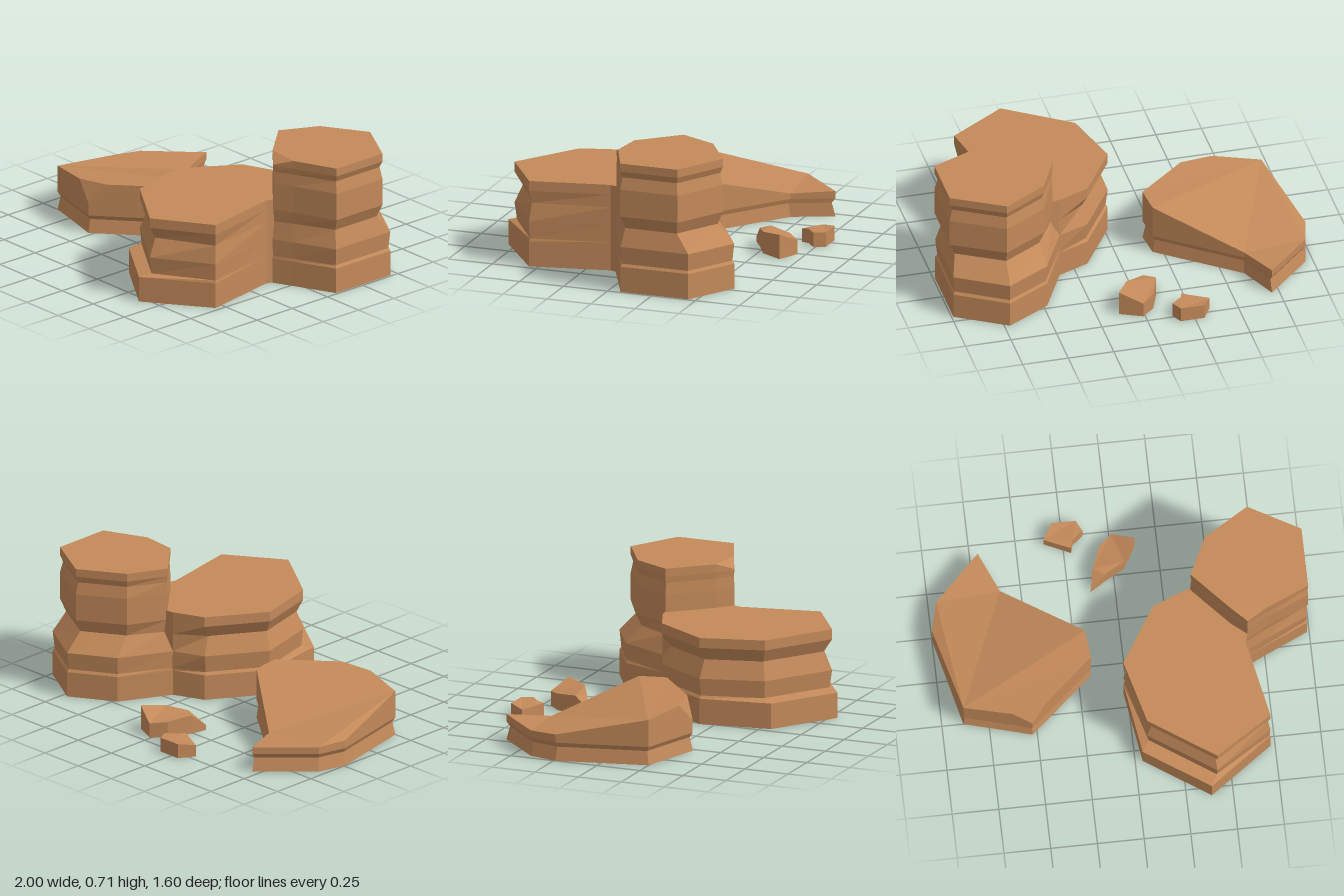
import * as THREE from 'three';

const material = new THREE.MeshStandardMaterial({ color: 0xc48a5a, flatShading: true });

// Stacked rings joined by quads; the last ring is capped by the given facets
// (lists of corner indices). Corners run counter-clockwise seen from above.
function loft(name, rings, facets) {
  const pos = [];
  const tri = (a, b, c) => pos.push(...a, ...b, ...c);
  const n = rings[0].length;
  const all = rings[0].map((_, i) => i);
  for (let r = 0; r < rings.length - 1; r++) {
    const lo = rings[r], hi = rings[r + 1];
    for (let i = 0; i < n; i++) {
      const j = (i + 1) % n;
      tri(lo[i], lo[j], hi[j]);
      tri(lo[i], hi[j], hi[i]);
    }
  }
  const cap = (ring, ids, up) => {
    const flat = ids.map(i => new THREE.Vector2(ring[i][0], -ring[i][2]));
    for (const [a, b, c] of THREE.ShapeUtils.triangulateShape(flat, [])) {
      const [p, q, s] = [ring[ids[a]], ring[ids[b]], ring[ids[c]]];
      up ? tri(p, q, s) : tri(p, s, q);
    }
  };
  cap(rings[0], all, false);
  for (const f of facets ?? [all]) cap(rings.at(-1), f, true);

  const geometry = new THREE.BufferGeometry();
  geometry.setAttribute('position', new THREE.Float32BufferAttribute(pos, 3));
  geometry.computeVertexNormals();
  const mesh = new THREE.Mesh(geometry, material);
  mesh.name = name;
  return mesh;
}

// Layered rock. Corners: base [x, z, weight], top [x, z, height].
// Layers: [y, scale about the centre, blend from base to top outline].
function rock(name, [cx, cz], base, top, layers, facets) {
  const rings = layers.map(([y, s, t], k) => base.map(([bx, bz, w = 1], i) => {
    const [tx, tz, ty] = top[i];
    const f = 1 + (s - 1) * w;
    const x = bx + (tx - bx) * t, z = bz + (tz - bz) * t;
    const h = k === layers.length - 1 && ty !== undefined ? ty : y;
    return [cx + (x - cx) * f, h, cz + (z - cz) * f];
  }));
  return loft(name, rings, facets);
}

export function createModel() {
  const group = new THREE.Group();
  group.name = 'rockFormation';

  // Tall column with a chipped front corner
  group.add(rock('tallRock', [0.68, -0.25],
    [[0.72, -0.615], [0.48, -0.475], [0.34, -0.2, 0.3], [0.56, 0, 0.3],
      [0.655, 0.085, 0.2], [0.76, 0.035, 0.4], [0.99, -0.07], [0.99, -0.455]],
    [[0.72, -0.55], [0.48, -0.405], [0.38, -0.2], [0.57, 0.01],
      [0.655, 0.08, 0.675], [0.76, 0.03], [0.995, -0.07], [0.995, -0.395]],
    [[0, 1, 0], [0.14, 1, 0], [0.155, 0.97, 0], [0.25, 1, 0], [0.35, 0.9, 1], [0.42, 1, 1],
      [0.57, 1, 1], [0.635, 0.95, 1], [0.67, 1, 1], [0.715, 1, 1]],
    [[0, 1, 2, 3, 5, 6, 7], [3, 4, 5]]));

  // Middle column, its back corners sunk into the tall one
  group.add(rock('middleRock', [0.35, 0.3],
    [[0.34, -0.2, 0], [0.17, -0.13], [-0.02, 0.17], [0.04, 0.56], [0.385, 0.795],
      [0.725, 0.55, 0.4], [0.64, 0.12, 0], [0.68, 0, 0], [0.45, -0.22, 0]],
    [[0.34, -0.2], [0.17, -0.13], [-0.02, 0.17], [0.07, 0.51], [0.42, 0.748],
      [0.725, 0.55], [0.64, 0.12], [0.68, 0], [0.45, -0.22]],
    [[0, 1, 0], [0.14, 1, 0], [0.155, 0.97, 1], [0.25, 1, 1], [0.35, 0.9, 1],
      [0.42, 1, 1], [0.475, 1, 1]]));

  // Flat rock: top folds down to the back, front corner chipped
  const flat = [[-0.71, -0.65, 0.14], [-0.96, -0.4, 0.14], [-1, -0.24, 0.145], [-0.885, 0.25, 0.25],
    [-0.63, 0.32, 0.272], [-0.525, 0.35, 0.17], [-0.45, 0.285, 0.282], [-0.18, 0.05, 0.285],
    [-0.195, -0.105, 0.28], [-0.615, -0.43, 0.13]];
  group.add(rock('flatRock', [-0.6, -0.1], flat.map(([x, z]) => [x, z]), flat,
    [[0, 1, 0], [0.075, 0.965, 0], [0.1, 1, 0], [0.25, 1, 1]],
    [[0, 1, 2, 3, 8, 9], [3, 4, 6, 7, 8], [4, 5, 6]]));

  // Two loose stones at the back
  const small = [[-0.17, -0.8, 0.08], [-0.3, -0.8, 0.08], [-0.35, -0.715, 0.065],
    [-0.21, -0.65, 0.075], [-0.2, -0.69, 0.08], [-0.14, -0.74, 0.08]];
  const sharp = [[0.01, -0.705, 0.08], [-0.06, -0.64, 0.09], [-0.11, -0.51, 0.105],
    [-0.13, -0.42, 0.03], [-0.05, -0.47, 0.105], [0.06, -0.53, 0.12], [0.13, -0.65, 0.135]];
  const stone = (name, pts, facets) => group.add(rock(name, [0, 0],
    pts.map(([x, z]) => [x, z]), pts, [[0, 1, 0], [0.08, 1, 1]], facets));
  stone('smallStone', small);
  stone('sharpStone', sharp, [[0, 1, 2, 4, 5, 6], [2, 3, 4]]);

  return group;
}
